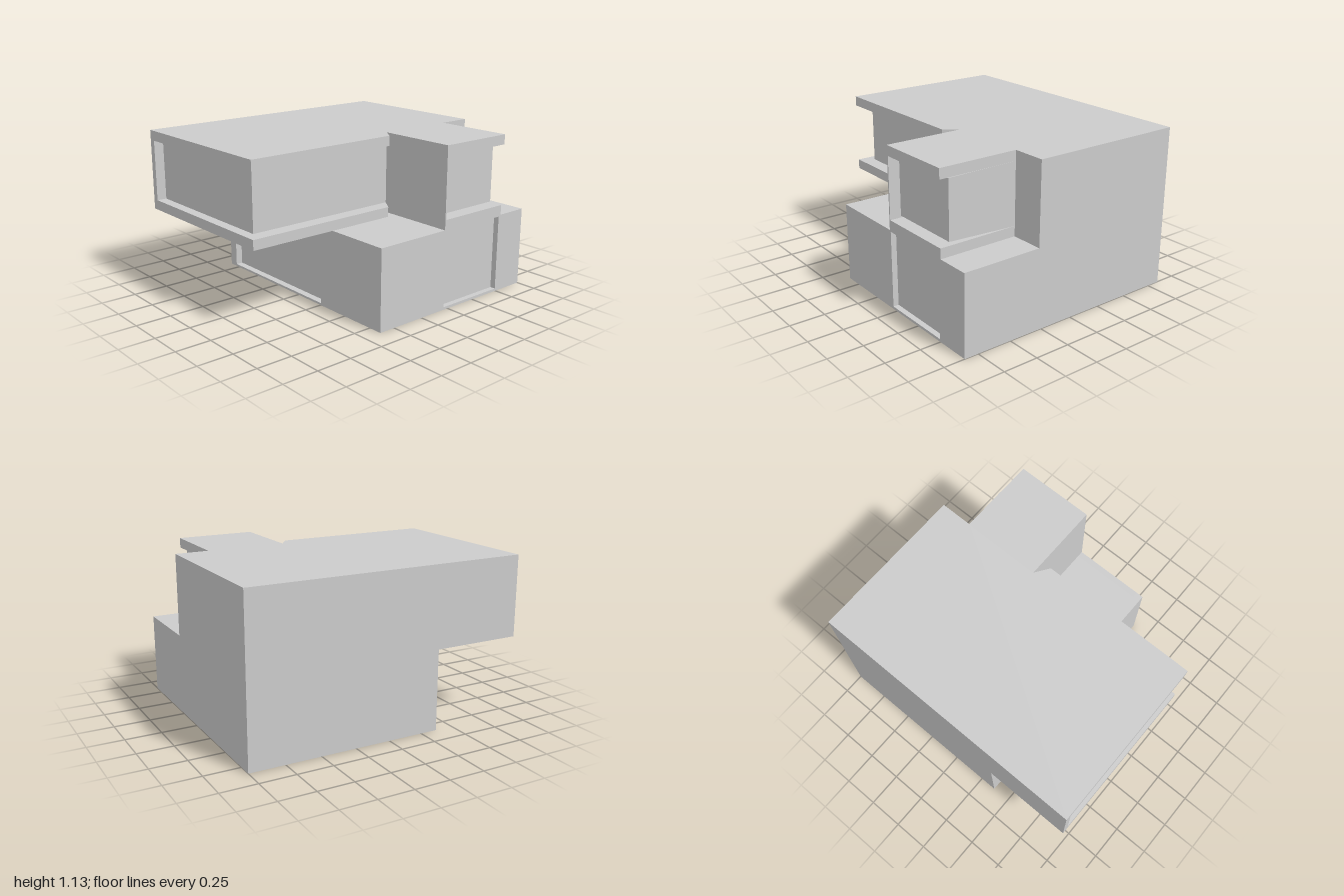
import * as THREE from 'three';

const material = new THREE.MeshStandardMaterial({ color: 0xcccccc, flatShading: true });

export function createModel() {
  const house = new THREE.Group();
  house.name = 'house';

  function add(name, geometry) {
    const mesh = new THREE.Mesh(geometry, material);
    mesh.name = name;
    house.add(mesh);
    return mesh;
  }

  // Box given by its lower and upper limits on each axis
  function block(x0, x1, y0, y1, z0, z1) {
    return new THREE.BoxGeometry(x1 - x0, y1 - y0, z1 - z0)
      .translate((x0 + x1) / 2, (y0 + y1) / 2, (z0 + z1) / 2);
  }

  function rectangle(Type, x0, x1, y0, y1) {
    return new Type([[x0, y0], [x1, y0], [x1, y1], [x0, y1]].map(p => new THREE.Vector2(...p)));
  }

  // Wall panel with a rectangular window opening
  function windowWall(outer, opening, depth) {
    const shape = rectangle(THREE.Shape, ...outer);
    shape.holes.push(rectangle(THREE.Path, ...opening));
    return new THREE.ExtrudeGeometry(shape, { depth, bevelEnabled: false });
  }

  const floor = 0.565, slabTop = 0.635, ceiling = 1.065, roof = 1.135;

  // Ground floor: solid core faced with two window walls
  add('groundFloor', block(-0.85, 0.81, 0, floor, -1, 0.32));
  add('groundFrontWall', windowWall([-0.85, 0.85, 0, floor], [-0.78, 0.255, 0.015, 0.555], 0.05))
    .position.z = 0.32;
  add('groundSideWall', windowWall([-0.32, 1, 0, floor], [0.21, 0.745, 0.018, 0.555], 0.04)
    .rotateY(Math.PI / 2)).position.x = 0.81;

  // Floor and roof slabs share one outline, written as x, z
  const outline = [[-0.85, 1], [0.38, 1], [0.38, -0.13], [0.28, -0.2], [0.85, -0.2],
    [0.85, -0.765], [0.28, -0.765], [0.28, -1], [-0.85, -1]];
  const slabShape = new THREE.Shape(outline.map(([x, z]) => new THREE.Vector2(x, -z)));
  for (const [name, y0, y1] of [['floorSlab', floor, slabTop], ['roofSlab', ceiling, roof]]) {
    add(name, new THREE.ExtrudeGeometry(slabShape, { depth: y1 - y0, bevelEnabled: false })
      .rotateX(-Math.PI / 2)).position.y = y0;
  }

  // Upper floor, with a cheek wall closing the front recess on one side
  add('upperFloor', block(-0.85, 0.28, slabTop, ceiling, -1, 0.93));
  add('upperCheekWall', block(-0.85, -0.805, slabTop, ceiling, 0.93, 1));

  // Side wing: front wall and a room that tapers slightly outwards
  add('wingFrontWall', block(0.28, 0.85, slabTop, ceiling, -0.21, -0.2));
  const room = block(0.28, 0.77, slabTop, ceiling, -0.765, -0.205);
  const p = room.attributes.position;
  for (let i = 0; i < p.count; i++) {
    if (p.getX(i) < 0.5) continue;
    p.setY(i, p.getY(i) > 0.85 ? 1.052 : 0.648);
    p.setZ(i, p.getZ(i) > -0.5 ? -0.212 : -0.742);
  }
  room.computeVertexNormals();
  add('wingRoom', room);

  return house;
}
